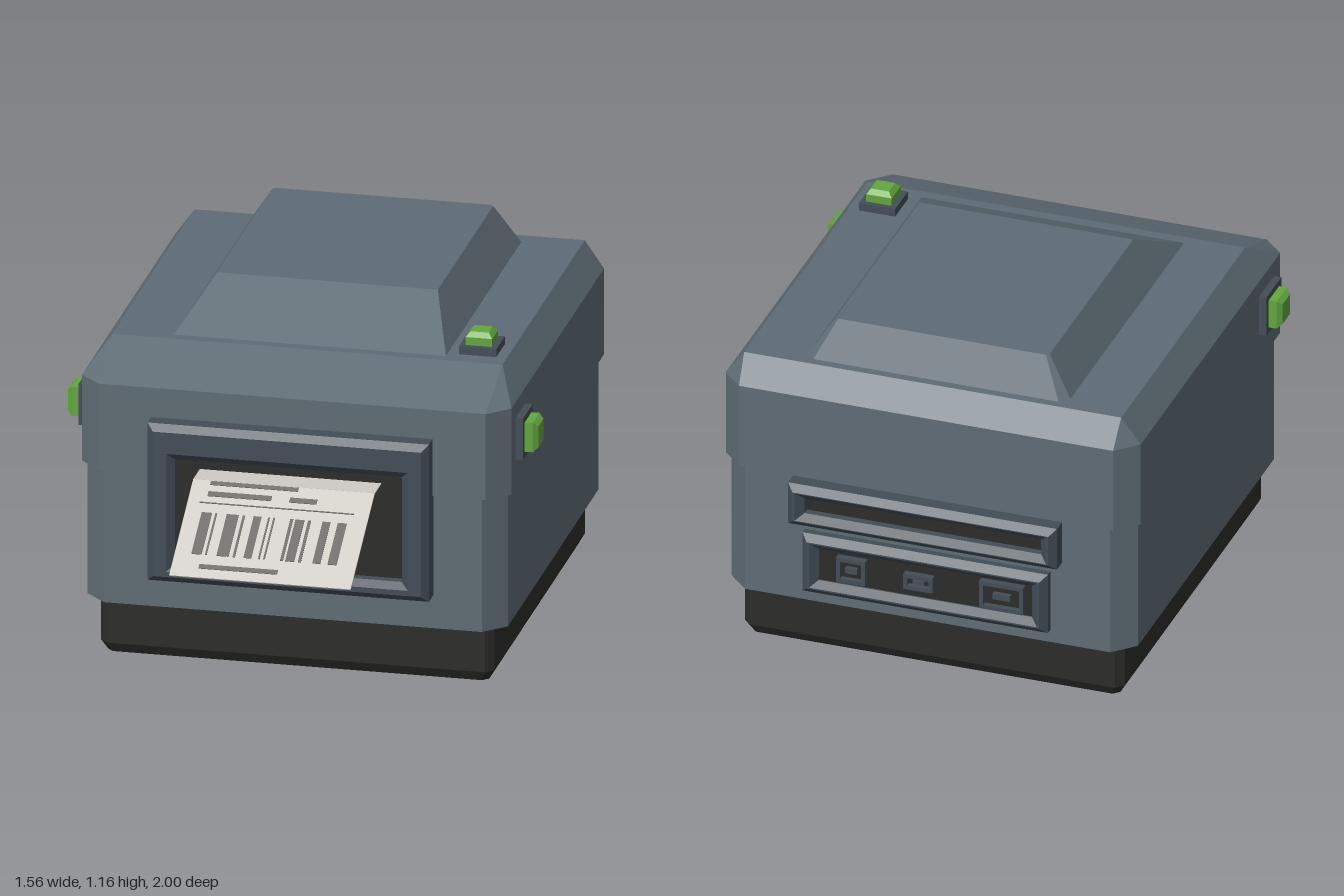
import * as THREE from 'three';

const mat = (name, color) => Object.assign(new THREE.MeshStandardMaterial({ color }), { name });

// Ring of a chamfered rectangle, counter-clockwise seen from +z
function ring(hx, y0, y1, z, c0 = 0, c1 = c0) {
  return [
    [-hx + c0, y0, z], [hx - c0, y0, z], [hx, y0 + c0, z], [hx, y1 - c1, z],
    [hx - c1, y1, z], [-hx + c1, y1, z], [-hx, y1 - c1, z], [-hx, y0 + c0, z],
  ];
}

// Flat-shaded skin through a stack of rings, with optional end caps
function loft(rings, capStart = true, capEnd = true) {
  const pos = [];
  const v = (p) => new THREE.Vector3(...p);
  const tri = (a, b, c) => {
    const area = v(b).sub(v(a)).cross(v(c).sub(v(a))).length();
    if (area > 1e-9) pos.push(...a, ...b, ...c);
  };
  for (let r = 0; r < rings.length - 1; r++) {
    const a = rings[r], b = rings[r + 1], n = a.length;
    for (let i = 0; i < n; i++) {
      const j = (i + 1) % n;
      tri(a[i], a[j], b[j]);
      tri(a[i], b[j], b[i]);
    }
  }
  const first = rings[0], last = rings[rings.length - 1];
  for (let i = 1; i < first.length - 1; i++) {
    if (capStart) tri(first[0], first[i + 1], first[i]);
    if (capEnd) tri(last[0], last[i], last[i + 1]);
  }
  const g = new THREE.BufferGeometry();
  g.setAttribute('position', new THREE.Float32BufferAttribute(pos, 3));
  g.computeVertexNormals();
  return g;
}

// Upright solid; each level is [halfWidth, front z, back z, y, front chamfer, back chamfer]
const upright = (levels) =>
  loft(levels.map(([hx, f, b, y, c0, c1]) => ring(hx, -f, -b, y, c0, c1))).rotateX(-Math.PI / 2);

export function createModel() {
  const model = new THREE.Group();
  model.name = 'labelPrinter';
  const shell = mat('slate shell', 0x5f6c75);
  const trim = mat('dark slate trim', 0x434d57);
  const black = mat('black plastic', 0x2b2b2a);
  const green = mat('green button', 0x64a640);
  const paper = mat('label paper', 0xcfcbc5);
  const ink = mat('label ink', 0x6b6662);

  const add = (name, geometry, material, parent = model) => {
    const m = new THREE.Mesh(geometry, material);
    m.name = name;
    parent.add(m);
    return m;
  };
  const group = (name, parent = model) => {
    const g = new THREE.Group();
    g.name = name;
    parent.add(g);
    return g;
  };

  // Housing, from the foot up
  add('base', upright([
    [0.63, 0.455, -0.865, 0, 0.02],
    [0.65, 0.475, -0.885, 0.035, 0.025],
    [0.65, 0.475, -0.885, 0.2, 0.025],
  ]), black);
  add('lowerBody', upright([
    [0.695, 0.52, -0.93, 0.19, 0.07],
    [0.695, 0.52, -0.93, 0.66, 0.07],
  ]), shell);
  add('lid', upright([
    [0.71, 0.535, -0.945, 0.65, 0.07],
    [0.71, 0.535, -0.945, 0.945, 0.07],
    [0.645, 0.31, -0.88, 1.035, 0],
  ]), shell);
  add('raisedCover', upright([
    [0.45, 0.275, -0.85, 1.034, 0, 0.03],
    [0.365, 0.02, -0.79, 1.165, 0, 0.01],
  ]), shell);

  // Bevelled surround with a sunken dark panel, facing +z
  function surround(name, hx, y0, y1, zBack, zFront, inner, zPanel, parent) {
    const [ix, i0, i1] = inner, b = 0.022, t = 0.025;
    const g = group(name, parent);
    add(name + 'Frame', loft([
      ring(hx, y0, y1, zBack),
      ring(hx, y0, y1, zFront - b),
      ring(hx - b, y0 + b, y1 - b, zFront),
      ring(ix, i0, i1, zFront),
      ring(ix - t, i0 + t * 0.8, i1 - t, zFront - 0.025),
      ring(ix - t, i0 + t * 0.8, i1 - t, zPanel),
    ], true, false), trim, g);
    const plate = new THREE.PlaneGeometry(2 * (ix - t), i1 - i0 - 1.8 * t);
    plate.translate(0, (i0 + i1 - 0.2 * t) / 2, zPanel);
    add(name + 'Panel', plate, black, g);
    return g;
  }
  surround('paperOutlet', 0.465, 0.305, 0.845, 0.5, 0.61, [0.4, 0.345, 0.75], 0.555, model);

  // Rear slot and connector panel
  const rear = group('rear');
  rear.rotation.y = Math.PI;
  surround('rearSlot', 0.46, 0.49, 0.64, 0.9, 1.0, [0.43, 0.515, 0.615], 0.95, rear);
  surround('connectorPanel', 0.42, 0.235, 0.45, 0.9, 0.975, [0.39, 0.262, 0.423], 0.945, rear);
  for (const [x, w, h] of [[-0.25, 0.1, 0.09], [-0.02, 0.1, 0.055], [0.265, 0.15, 0.1]]) {
    const port = group('port', rear);
    port.position.set(x, 0.342, 0);
    const r = (k, z) => ring(w / 2 - k, -h / 2 + k, h / 2 - k, z);
    add('portRim', loft([r(0, 0.94), r(0, 0.968), r(0.014, 0.968), r(0.014, 0.95)], true, false), trim, port);
    add('portSocket', new THREE.PlaneGeometry(w - 0.028, h - 0.028).translate(0, 0, 0.95), black, port);
    add('portTongue', new THREE.BoxGeometry(w * 0.4, h * 0.22, 0.014).translate(0, 0, 0.957), trim, port);
  }

  // Push buttons: mount plate and chamfered cap, facing local +z
  function button(name, plate, cap) {
    const g = group(name);
    add('buttonMount', new THREE.BoxGeometry(plate * 2, plate * 2, 0.045).translate(0, 0, 0.0025), trim, g);
    const r = (s, z) => ring(s, -s, s, z);
    add('buttonCap', loft([r(cap, 0.02), r(cap, 0.052), r(cap - 0.014, 0.068)]), green, g);
    return g;
  }
  for (const s of [1, -1]) {
    const b = button(s > 0 ? 'leftButton' : 'rightButton', 0.071, 0.05);
    b.position.set(s * 0.71, 0.82, 0.335);
    b.rotation.y = s * Math.PI / 2;
  }
  const topButton = button('topButton', 0.062, 0.044);
  topButton.position.set(0.548, 1.037, 0.185);
  topButton.rotation.x = -Math.PI / 2;

  // Printed label: flat tail in the outlet, then a sloping sheet
  const label = group('label');
  label.position.set(0, 0.685, 0.65);
  add('labelTail', new THREE.BoxGeometry(0.6, 0.004, 0.1).translate(0, 0, -0.05), paper, label);
  const sheet = group('labelSheet', label);
  sheet.rotation.x = Math.atan2(0.205, 0.35);
  add('sheet', new THREE.BoxGeometry(0.6, 0.004, 0.405).translate(0, 0, 0.2025), paper, sheet);
  const mark = (name, x0, x1, z0, z1) => add(name,
    new THREE.BoxGeometry(x1 - x0, 0.002, z1 - z0).translate((x0 + x1) / 2, 0.003, (z0 + z1) / 2), ink, sheet);

  // Printed lines: [x start, x end, distance down the sheet, thickness]
  for (const [x0, x1, z, t] of [
    [-0.24, 0.05, 0.003, 0.016], [-0.24, -0.03, 0.046, 0.02], [0.03, 0.12, 0.046, 0.02],
    [-0.26, 0.25, 0.092, 0.004], [-0.21, 0.05, 0.35, 0.018],
  ]) mark('printedLine', x0, x1, z, z + t);
  // Printed bars: [centre, width]
  for (const [x, w] of [
    [-0.228, 0.034], [-0.197, 0.006], [-0.142, 0.04], [-0.105, 0.008], [-0.06, 0.026], [-0.022, 0.006],
    [-0.005, 0.006], [0.053, 0.01], [0.08, 0.03], [0.112, 0.01], [0.168, 0.026], [0.22, 0.03],
  ]) mark('printedBar', x - w / 2, x + w / 2, 0.135, 0.31);

  return model;
}
